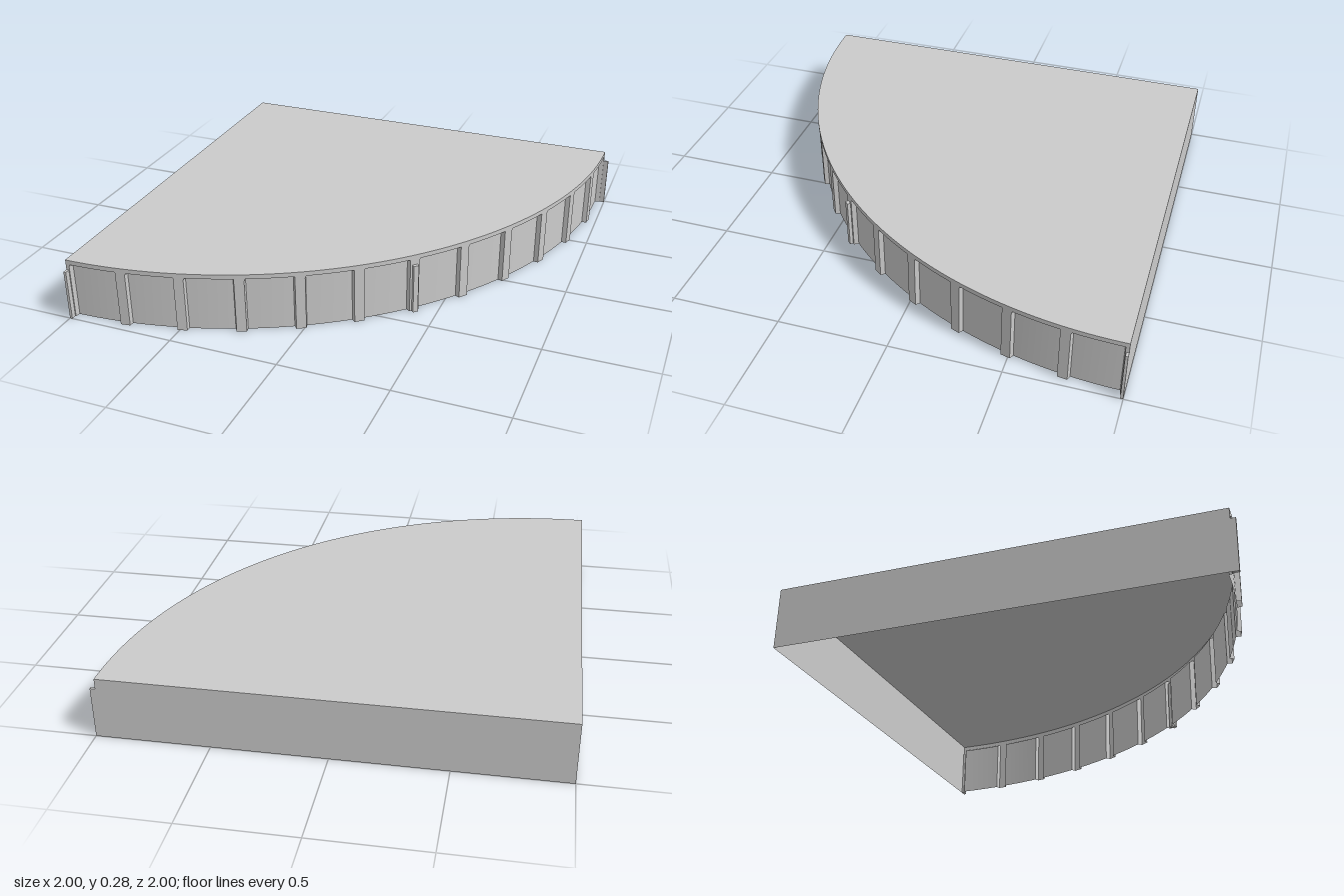
import * as THREE from 'three';
import { toCreasedNormals } from 'three/addons/utils/BufferGeometryUtils.js';

const R = 1.977;        // radius of the curved front
const H = 0.283;        // height of the platform
const PANELS = 12;      // recessed panels along the quarter circle
const DEPTH = 0.022;    // how far the panels sit back
const STEP = Math.PI / 2 / PANELS;

// Curved wall as one sheet: angular columns swept over a few heights
function curvedWall() {
  const columns = [{ a: 0, d: 0 }];
  for (let i = 0; i < PANELS; i++) {
    const start = i * STEP + (i === 0 ? 0.016 : 0.022) / R;
    const end = (i + 1) * STEP - (i === PANELS - 1 ? 0.016 : 0.022) / R;
    const bevel = 0.005 / R;
    columns.push({ a: start, d: 0 });
    for (let k = 0; k <= 8; k++) {
      columns.push({ a: THREE.MathUtils.lerp(start + bevel, end - bevel, k / 8), d: DEPTH });
    }
    columns.push({ a: end, d: 0 });
  }
  columns.push({ a: Math.PI / 2, d: 0 });

  // height and how much of the recess applies there
  const rows = [[0, 1], [0.251, 1], [0.262, 0], [H, 0]];
  const positions = [], index = [], n = rows.length;
  for (const { a, d } of columns) {
    for (const [y, f] of rows) {
      const r = R - d * f;
      positions.push(r * Math.sin(a), y, r * Math.cos(a));
    }
  }
  for (let c = 0; c < columns.length - 1; c++) {
    for (let j = 0; j < n - 1; j++) {
      const p = c * n + j, q = p + n;
      index.push(p, q, q + 1, p, q + 1, p + 1);
    }
  }
  const geometry = new THREE.BufferGeometry();
  geometry.setAttribute('position', new THREE.Float32BufferAttribute(positions, 3));
  geometry.setIndex(index);
  return toCreasedNormals(geometry, Math.PI / 9);
}

export function createModel() {
  const model = new THREE.Group();
  model.name = 'quarterRoundPlatform';
  const sheet = new THREE.MeshStandardMaterial({ color: 0xcccccc, side: THREE.DoubleSide });
  const solid = new THREE.MeshStandardMaterial({ color: 0xcccccc });

  const add = (name, geometry, material) => {
    const mesh = new THREE.Mesh(geometry, material);
    mesh.name = name;
    model.add(mesh);
    return mesh;
  };

  // Quarter-circle deck; the underside is open
  add('deck', new THREE.CircleGeometry(R, 120, -Math.PI / 2, Math.PI / 2)
    .rotateX(-Math.PI / 2).translate(0, H, 0), sheet);

  add('panelledFront', curvedWall(), sheet);

  // Two straight walls meeting at the corner
  add('backWall', new THREE.PlaneGeometry(R, H)
    .rotateY(Math.PI).translate(R / 2, H / 2, 0), sheet);
  add('sideWall', new THREE.PlaneGeometry(R, H)
    .rotateY(-Math.PI / 2).translate(0, H / 2, R / 2), sheet);

  // Narrow posts on the curve: half posts at the ends, a full one in the middle
  const postHeight = 0.235, postDepth = 0.03;
  for (const [angle, width, shift] of [[0, 0.012, 0.006], [Math.PI / 4, 0.024, 0], [Math.PI / 2, 0.012, -0.006]]) {
    const geometry = new THREE.BoxGeometry(width, postHeight, postDepth)
      .translate(shift, postHeight / 2, 2 - (angle === Math.PI / 4 ? 0.008 : 0) - postDepth / 2)
      .rotateY(angle);
    add('post', geometry, solid);
  }

  // The corner of the quarter circle lies at the back right
  model.children.forEach((mesh) => mesh.position.set(-1, 0, -1));
  return model;
}
